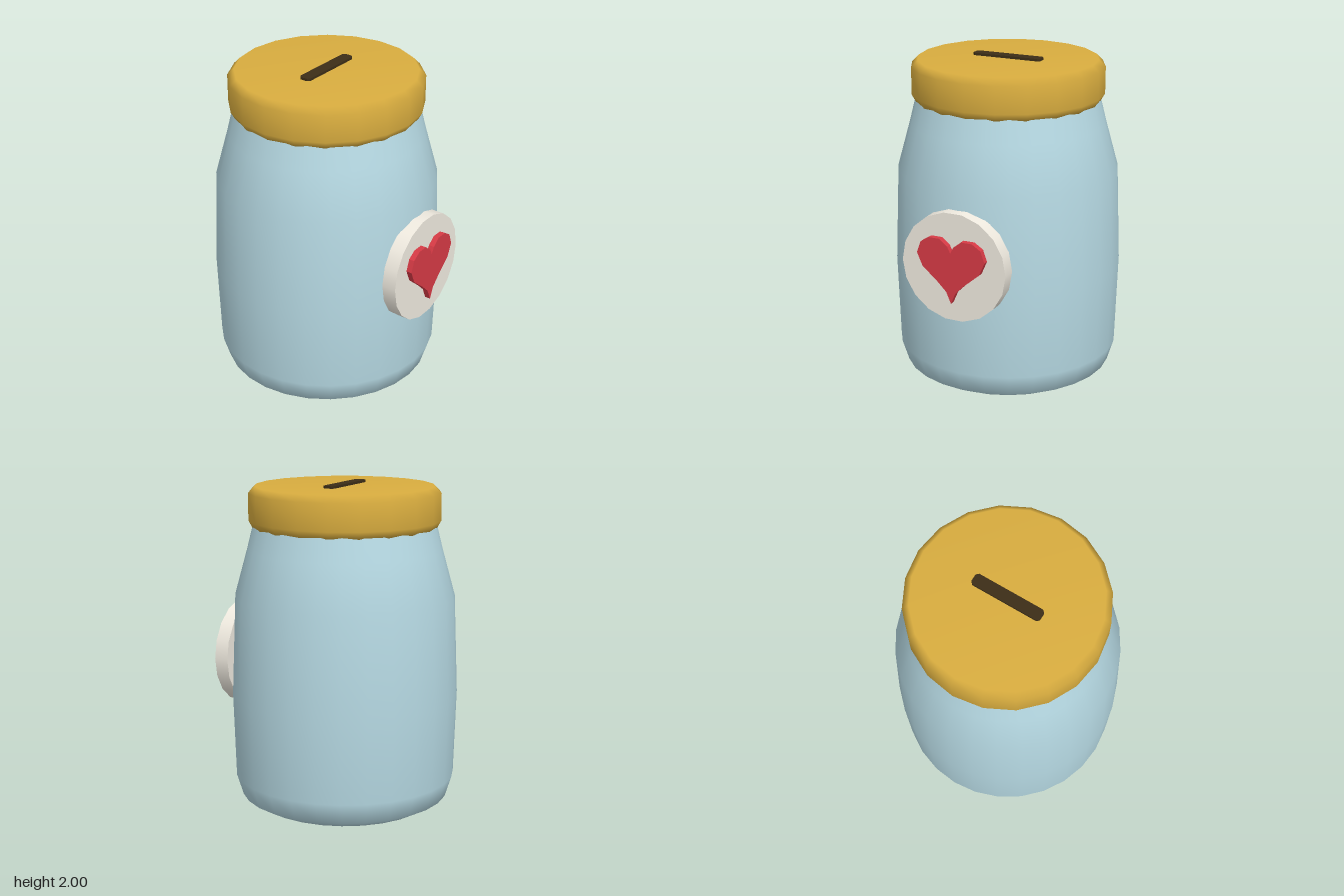
import * as THREE from 'three';

const AXIS_Z = -0.035; // the jar's axis sits slightly back of centre

export function createModel() {
  const model = new THREE.Group();

  function add(name, geometry, color, z = 0, y = 0) {
    const mesh = new THREE.Mesh(geometry, new THREE.MeshStandardMaterial({ color }));
    mesh.name = name;
    mesh.position.set(0, y, z);
    model.add(mesh);
    return mesh;
  }
  const lathe = (profile, sides) =>
    new THREE.LatheGeometry(profile.map(([r, y]) => new THREE.Vector2(r, y)), sides);

  // Jar body with rounded foot and tapering shoulder
  add('jar', lathe([
    [0, 0], [0.56, 0], [0.65, 0.05], [0.69, 0.18], [0.705, 0.7],
    [0.68, 1.31], [0.6, 1.6], [0.565, 1.74], [0.54, 1.82], [0, 1.82],
  ], 28), 0xb5d8e2, AXIS_Z);

  // Lid with bevelled rims
  add('lid', lathe([
    [0, 1.735], [0.565, 1.735], [0.59, 1.78], [0.59, 1.945], [0.55, 1.985], [0, 1.985],
  ], 20), 0xd9ad3f, AXIS_Z);

  // Coin slot: a bar with clipped corners, slightly proud of the lid
  const w = 0.222, d = 0.037, c = 0.015;
  const slotShape = new THREE.Shape([
    [-w + c, -d], [w - c, -d], [w, -d + c], [w, d - c],
    [w - c, d], [-w + c, d], [-w, d - c], [-w, -d + c],
  ].map(([x, y]) => new THREE.Vector2(x, y)));
  const slot = new THREE.ExtrudeGeometry(slotShape, { depth: 0.04, bevelEnabled: false });
  slot.rotateX(-Math.PI / 2);
  add('coinSlot', slot, 0x3d2e17, AXIS_Z, 1.96);

  // Round badge on the front
  const badge = new THREE.CylinderGeometry(0.337, 0.337, 0.09, 18, 1, false, Math.PI / 2);
  badge.rotateX(Math.PI / 2);
  add('badge', badge, 0xf0ebe0, 0.665, 0.885);

  // Heart: right half from tip to notch, mirrored for the left
  const half = [
    [0.03, 0.74], [0.085, 0.795], [0.185, 0.88], [0.22, 0.96],
    [0.195, 1.03], [0.14, 1.065], [0.07, 1.065], [0.02, 1.025],
  ];
  const outline = [
    [0, 0.67], ...half, [0, 0.985], ...half.map(([x, y]) => [-x, y]).reverse(),
  ].map(([x, y]) => new THREE.Vector2(x, y));
  add('heart', new THREE.ExtrudeGeometry(new THREE.Shape(outline), {
    depth: 0.055, bevelEnabled: false,
  }), 0xd63a45, 0.69);

  return model;
}
